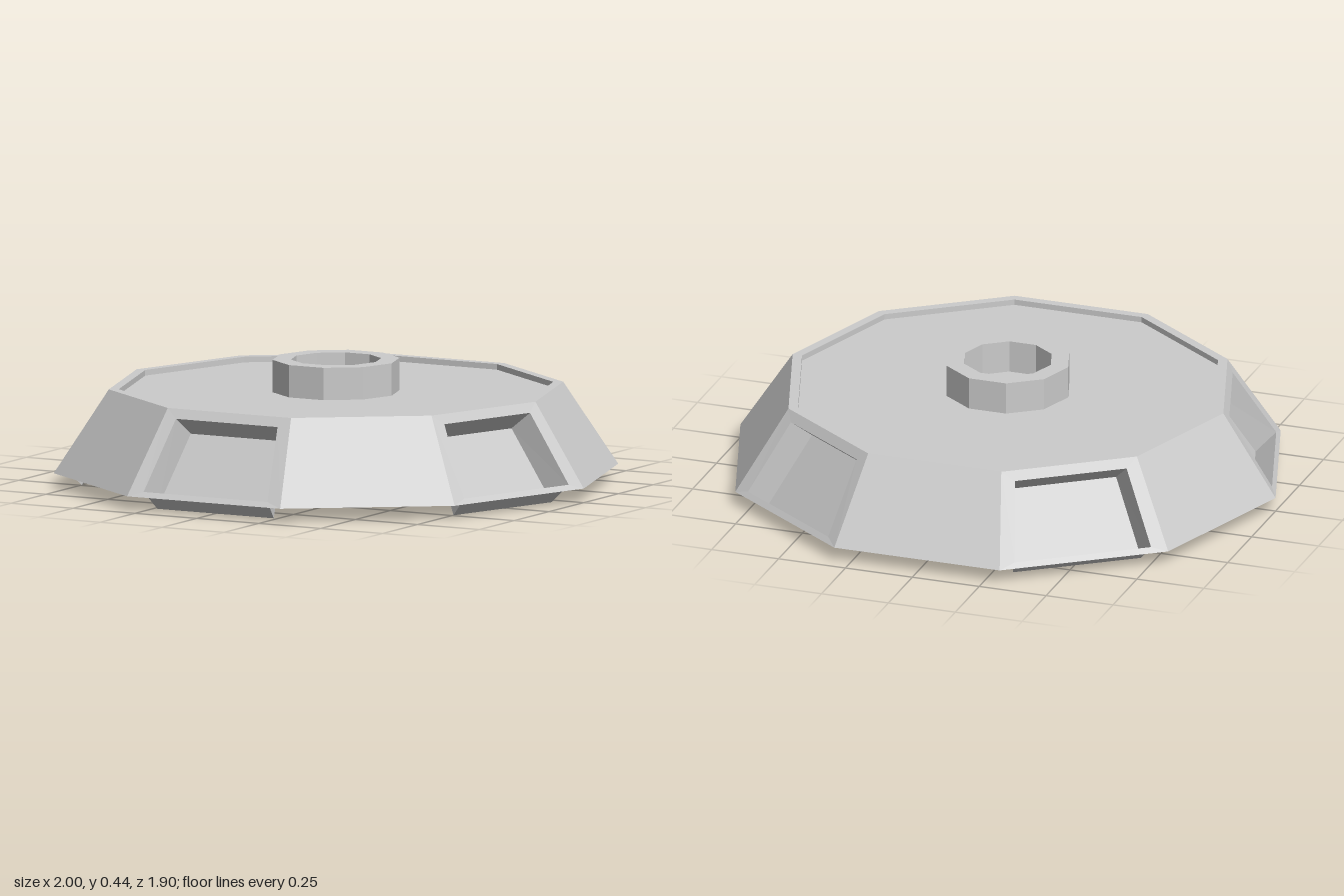
import * as THREE from 'three';

const SIDES = 10;
const material = new THREE.MeshStandardMaterial({ color: 0xcccccc, flatShading: true, side: THREE.DoubleSide });

// Four corners of a trapezoid facing outwards, each as [across, outwards, up]
const trapezoid = (halfLow, outLow, yLow, halfHigh, outHigh, yHigh) => [
  [-halfLow, outLow, yLow], [halfLow, outLow, yLow],
  [halfHigh, outHigh, yHigh], [-halfHigh, outHigh, yHigh],
];

// Mesh of four-cornered faces, turned to face the given angle around y
function quadMesh(name, quads, angle) {
  const c = Math.cos(angle), s = Math.sin(angle);
  const positions = [];
  for (const q of quads) {
    for (const i of [0, 1, 2, 0, 2, 3]) {
      const [t, d, y] = q[i];
      positions.push(d * c + t * s, y, d * s - t * c);
    }
  }
  const geometry = new THREE.BufferGeometry();
  geometry.setAttribute('position', new THREE.Float32BufferAttribute(positions, 3));
  geometry.computeVertexNormals();
  const mesh = new THREE.Mesh(geometry, material);
  mesh.name = name;
  return mesh;
}

// Band of four faces joining two trapezoids
const bridge = (a, b) => a.map((p, i) => {
  const j = (i + 1) % 4;
  return [p, a[j], b[j], b[i]];
});

export function createModel() {
  const group = new THREE.Group();
  group.name = 'decagonalHull';

  // Top plate with raised lip and hollow central collar
  const profile = [
    [0.805, 0.345], [0.77, 0.345], [0.77, 0.325], [0.225, 0.325],
    [0.225, 0.44], [0.16, 0.44], [0.16, 0.325], [0, 0.325],
  ].map(([r, y]) => new THREE.Vector2(r, y));
  const plate = new THREE.Mesh(new THREE.LatheGeometry(profile, SIDES, Math.PI / 2), material);
  plate.name = 'topPlateAndCollar';
  group.add(plate);

  // Sloping skirt: plain panels alternate with recessed bays
  const apothem = Math.cos(Math.PI / SIDES), half = Math.sin(Math.PI / SIDES);
  const panel = trapezoid(half, apothem, 0.05, 0.805 * half, 0.805 * apothem, 0.345);
  const opening = trapezoid(0.25, 0.937, 0.068, 0.205, 0.785, 0.312);
  const back = trapezoid(0.235, 0.865, 0, 0.19, 0.705, 0.25);

  for (let i = 0; i < SIDES; i++) {
    const angle = Math.PI / 2 + (i * 2 * Math.PI) / SIDES;
    if (i % 2) {
      group.add(quadMesh('plainPanel', [panel], angle));
    } else {
      group.add(quadMesh('bayFrame', bridge(panel, opening), angle));
      group.add(quadMesh('recessedBay', [...bridge(opening, back), back], angle));
    }
  }
  return group;
}
